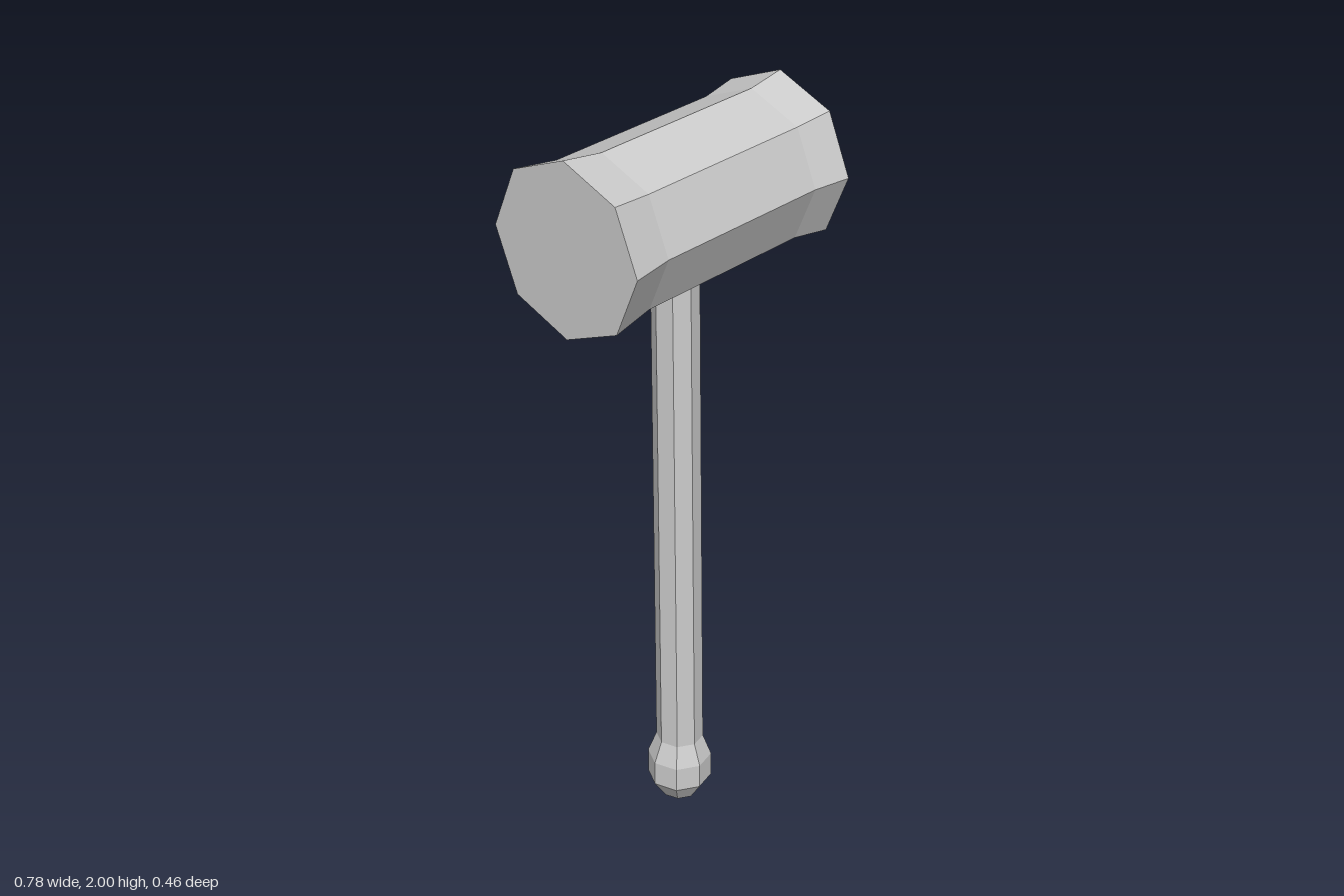
import * as THREE from 'three';

const material = new THREE.MeshStandardMaterial({ color: 0xcccccc, flatShading: true });

// Eight-sided turned solid from [radius, height] pairs, listed bottom to top
function turned(name, profile, phiStart = 0) {
  const points = profile.map(([r, h]) => new THREE.Vector2(r, h));
  const mesh = new THREE.Mesh(new THREE.LatheGeometry(points, 8, phiStart), material);
  mesh.name = name;
  return mesh;
}

export function createModel() {
  const model = new THREE.Group();
  model.name = 'mallet';

  // Head: octagonal barrel flaring at both striking faces, laid along x
  const head = turned('head', [
    [0, -0.39], [0.232, -0.39], [0.211, -0.26], [0.211, 0.28], [0.228, 0.39], [0, 0.39],
  ]);
  head.geometry.rotateZ(-Math.PI / 2);
  head.position.set(0, 1.769, -0.001);
  model.add(head);

  // Handle: slim octagonal shaft with a rounded pommel, running up into the head
  const handle = turned('handle', [
    [0, 0], [0.05, 0], [0.087, 0.055], [0.087, 0.125], [0.064, 0.185], [0.062, 1.65], [0, 1.65],
  ], THREE.MathUtils.degToRad(-9));

  // Slight backward lean of the shaft above the pommel
  const p = handle.geometry.attributes.position;
  for (let i = 0; i < p.count; i++) {
    const t = Math.max(0, (p.getY(i) - 0.185) / 1.465);
    p.setX(i, p.getX(i) - 0.009 + 0.004 * t);
    p.setZ(i, p.getZ(i) + 0.021 * (1 - t));
  }
  handle.geometry.computeVertexNormals();
  model.add(handle);

  return model;
}
